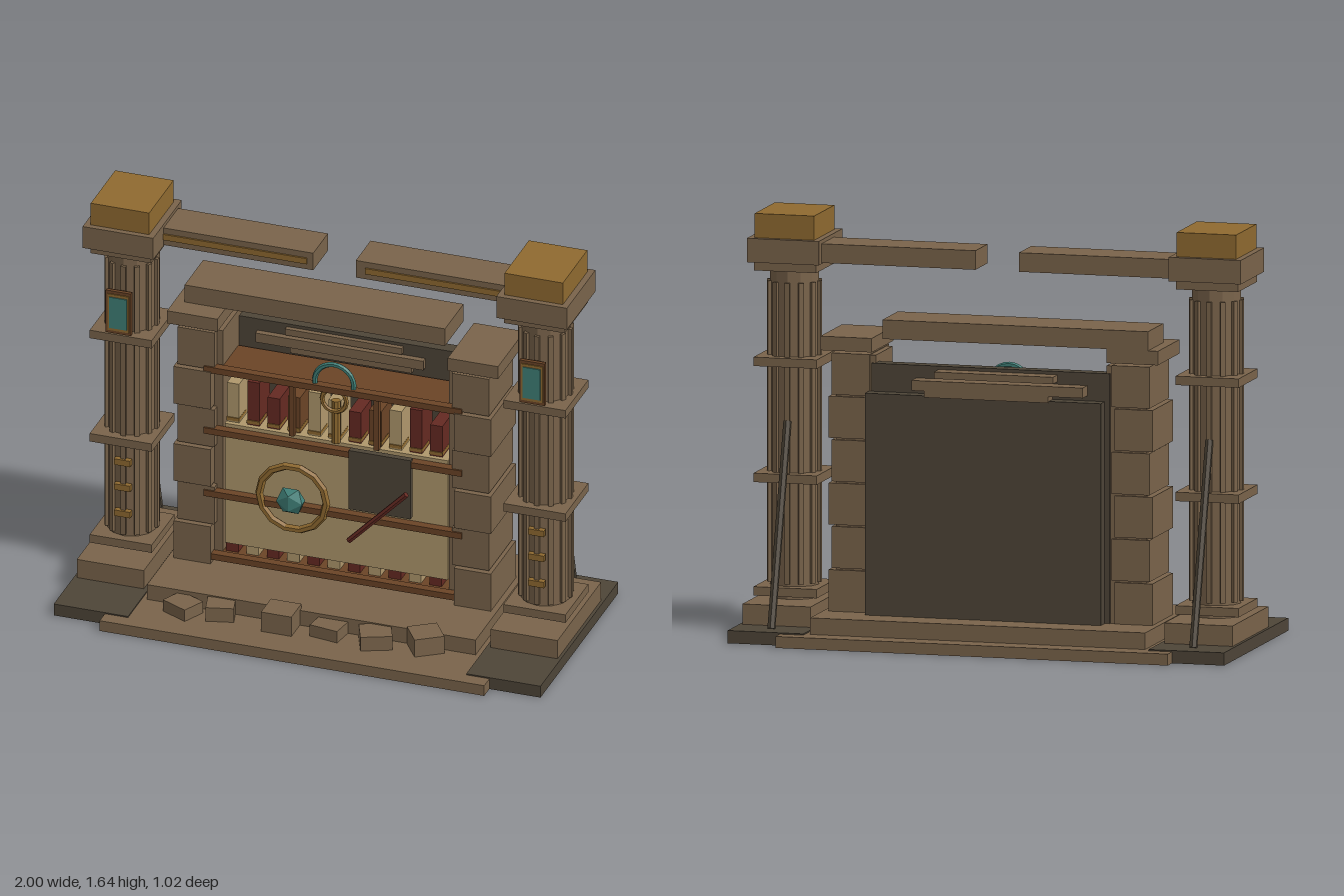
import * as THREE from 'three';

const mat = (name, color, flatShading = true) => {
  const m = new THREE.MeshStandardMaterial({ color, flatShading });
  m.name = name;
  return m;
};

export function createModel() {
  const stone = mat('stone', 0x7a644b), dark = mat('darkStone', 0x4e4538);
  const gold = mat('gold', 0x8f6a30), cream = mat('parchment', 0xb0986c);
  const red = mat('redLeather', 0x652a22), wood = mat('wood', 0x6b4426);
  const teal = mat('teal', 0x3f7f77);
  const model = new THREE.Group();
  model.name = 'ruinedShrine';

  const add = (name, geo, material, parent = model) => {
    const m = new THREE.Mesh(geo, material);
    m.name = name;
    parent.add(m);
    return m;
  };
  // Box given by its extents on each axis
  const box = (name, material, [x0, x1], [y0, y1], [z0, z1], parent = model) => {
    const m = add(name, new THREE.BoxGeometry(x1 - x0, y1 - y0, z1 - z0), material, parent);
    m.position.set((x0 + x1) / 2, (y0 + y1) / 2, (z0 + z1) / 2);
    return m;
  };
  // Round bar between two points
  const rod = (name, material, a, b, r, sides = 6) => {
    const p = new THREE.Vector3(...a), q = new THREE.Vector3(...b), d = q.clone().sub(p);
    const m = add(name, new THREE.CylinderGeometry(r, r, d.length(), sides), material);
    m.position.copy(p).add(q).multiplyScalar(0.5);
    m.quaternion.setFromUnitVectors(new THREE.Vector3(0, 1, 0), d.normalize());
    return m;
  };

  // Floor slabs
  box('baseSlab', stone, [-0.79, 0.79], [0, 0.045], [-0.51, 0.51]);
  box('upperStep', stone, [-0.675, 0.675], [0.045, 0.11], [-0.425, 0.285]);

  // Pillars, mirrored by position
  for (const s of [-1, 1]) {
    box('sideSlab', dark, s < 0 ? [-1, -0.695] : [0.695, 1], [0, 0.05], [-0.45, 0.45]);
    const pillar = new THREE.Group();
    pillar.name = s < 0 ? 'rightPillar' : 'leftPillar';
    pillar.position.set(s * 0.85, 0, -0.035);
    model.add(pillar);
    const block = (name, m, w, y0, y1, d) =>
      box(name, m, [-w / 2, w / 2], [y0, y1], [-d / 2, d / 2], pillar);
    block('plinth', stone, 0.275, 0.05, 0.13, 0.505);
    block('baseRing', stone, 0.255, 0.145, 0.18, 0.265);
    block('lowerBand', stone, 0.255, 0.59, 0.625, 0.265);
    block('upperBand', stone, 0.255, 1.045, 1.08, 0.265);
    block('capitalNeck', stone, 0.25, 1.42, 1.456, 0.265);
    block('capital', stone, 0.29, 1.456, 1.55, 0.33);
    block('goldCap', gold, 0.24, 1.55, 1.645, 0.283);
    const shaft = add('shaft', new THREE.CylinderGeometry(0.098, 0.098, 1.29, 12), stone, pillar);
    shaft.position.y = 0.775;
    for (let i = 0; i < 12; i++) {
      const a = (i / 12) * Math.PI * 2;
      const rib = add('shaftRib', new THREE.BoxGeometry(0.02, 1.18, 0.02), stone, pillar);
      rib.position.set(Math.sin(a) * 0.098, 0.78, Math.cos(a) * 0.098);
      rib.rotation.y = a;
    }
    // Wall plaque and small gold bars
    box('plaqueBack', wood, [-0.045, 0.045], [1.11, 1.275], [0.125, 0.145], pillar);
    box('plaqueFrame', wood, [-0.052, 0.052], [1.1, 1.285], [0.145, 0.16], pillar);
    box('plaqueTrim', gold, [-0.044, 0.044], [1.113, 1.272], [0.16, 0.164], pillar);
    box('plaqueGlass', teal, [-0.036, 0.036], [1.125, 1.26], [0.164, 0.168], pillar);
    for (const y of [0.285, 0.4, 0.51])
      box('goldBar', gold, [-0.033, 0.033], [y - 0.013, y + 0.013], [0.095, 0.117], pillar);
    // Leaning brace behind the pillar
    rod('brace', dark, [s * 0.85, 0.83, -0.135], [s * 0.85, 0.05, -0.36], 0.016);
  }

  // Broken top beams with gold inlay
  box('rightBeam', stone, [-0.72, -0.09], [1.46, 1.535], [-0.16, 0.01]);
  box('leftBeam', stone, [0.085, 0.72], [1.46, 1.535], [-0.16, 0.01]);
  box('rightBeamInlay', gold, [-0.705, -0.115], [1.485, 1.51], [0.01, 0.017]);
  box('leftBeamInlay', gold, [0.125, 0.705], [1.485, 1.51], [0.01, 0.017]);

  // Jambs of stacked blocks, with caps
  for (const s of [-1, 1]) {
    const span = (a, b) => (s < 0 ? [-b, -a] : [a, b]);
    for (let i = 0; i < 6; i++) {
      const y = 0.11 + i * 0.17, o = i % 2 ? -0.012 : 0;
      box('jambBlock', stone, span(0.5 + o, 0.652 + o), [y, y + 0.163], [-0.245, 0.045 + o]);
    }
    box('jambCore', stone, span(0.465, 0.625), [0.1, 1.12], [-0.235, 0.0]);
    box('jambCap', stone, span(0.473, 0.68), [1.135, 1.19], [-0.265, 0.04]);
  }
  box('lintel', stone, [-0.64, 0.43], [1.19, 1.265], [-0.265, -0.05]);

  // Back wall with broken ledges on top
  box('innerWall', dark, [-0.48, 0.48], [0.1, 1.09], [-0.245, -0.19]);
  box('backPanel', dark, [-0.46, 0.49], [0.1, 0.98], [-0.3, -0.245]);
  box('ledgeLow', stone, [-0.25, 0.25], [0.975, 1.0], [-0.31, -0.17]);
  box('ledgeMid', stone, [-0.39, 0.3], [1.0, 1.04], [-0.31, -0.165]);
  box('ledgeTop', stone, [-0.27, 0.21], [1.05, 1.077], [-0.31, -0.17]);

  // Parchment board and shelves
  box('board', cream, [-0.457, 0.46], [0.19, 0.715], [-0.17, 0.0]);
  for (const y of [0.14, 0.415, 0.69, 0.96])
    box('shelfRail', wood, [-0.53, 0.53], [y - 0.013, y + 0.013], [0.005, 0.04]);
  box('topShelf', wood, [-0.465, 0.465], [0.95, 0.965], [-0.18, 0.01]);
  box('bottomShelf', wood, [-0.465, 0.465], [0.13, 0.15], [-0.18, 0.01]);
  for (const x of [-0.178, 0.17])
    box('shelfPost', wood, [x - 0.01, x + 0.01], [0.715, 0.96], [-0.01, 0.015]);

  // Books above the board, with their lower row below it
  const covers = [cream, red, red, wood, cream, cream, red, wood, cream, red, red];
  const tops = [0.885, 0.905, 0.85, 0.87, 0.905, 0.885, 0.85, 0.87, 0.885, 0.905, 0.85];
  covers.forEach((c, i) => {
    const x = -0.43 + i * 0.0835;
    box('book', c, [x - 0.025, x + 0.025], [0.715, tops[i]], [-0.14, -0.02]);
    box('bookBand', gold, [x - 0.026, x + 0.026], [0.722, 0.736], [-0.1, -0.016]);
    box('lowerBook', i % 2 ? cream : red, [x - 0.025, x + 0.025], [0.15, 0.19], [-0.14, -0.01]);
  });

  // Ring and gem on the board
  const ring = add('goldRing', new THREE.TorusGeometry(0.138, 0.016, 6, 14), gold);
  ring.position.set(-0.165, 0.457, 0.035);
  const gem = add('gem', new THREE.IcosahedronGeometry(0.062, 0), teal);
  gem.position.set(-0.165, 0.457, 0.06);
  gem.scale.z = 0.6;

  // Dark tablet and red rod
  box('tablet', dark, [0.068, 0.322], [0.455, 0.713], [0.02, 0.045]);
  rod('redRod', red, [0.08, 0.335, 0.078], [0.317, 0.58, 0.078], 0.012);

  // Staff with gold ring and teal crescent
  rod('staff', gold, [0, 0.715, 0], [0, 0.9, 0], 0.018, 8);
  const loop = add('staffRing', new THREE.TorusGeometry(0.05, 0.01, 6, 14), gold);
  loop.position.set(0, 0.91, 0.02);
  const arc = add('crescent', new THREE.TorusGeometry(0.08, 0.011, 6, 14, Math.PI * 1.1), teal);
  arc.position.set(0, 0.985, 0.02);
  arc.rotation.z = -0.05 * Math.PI;

  // Fallen stones: x, z, width, height, depth, turn
  for (const [x, z, w, h, d, turn] of [
    [-0.51, 0.335, 0.12, 0.05, 0.1, -0.45], [-0.36, 0.32, 0.11, 0.06, 0.09, 0.25],
    [-0.11, 0.325, 0.125, 0.085, 0.115, 0], [0.085, 0.315, 0.12, 0.05, 0.1, -0.15],
    [0.28, 0.33, 0.125, 0.06, 0.11, 0.4], [0.475, 0.3, 0.12, 0.075, 0.115, 0.6],
  ]) {
    const rock = add('fallenStone', new THREE.BoxGeometry(w, h, d), stone);
    rock.position.set(x, 0.045 + h / 2, z);
    rock.rotation.y = turn;
  }
  return model;
}
